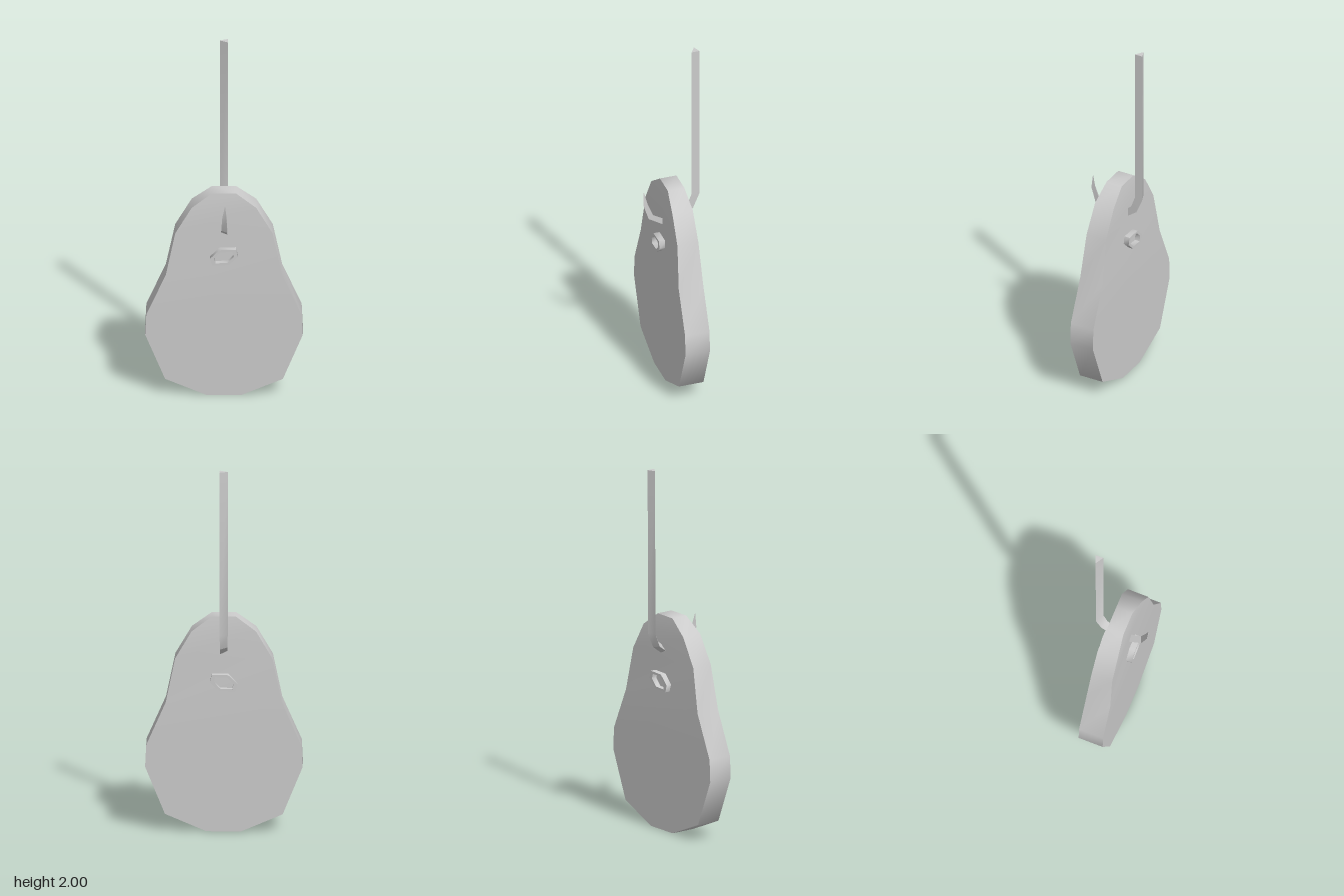
import * as THREE from 'three';
import { toCreasedNormals } from 'three/addons/utils/BufferGeometryUtils.js';

// Skin a list of equal-length rings (counter-clockwise seen from the far end), with end caps
function loft(rings, crease) {
  const n = rings[0].length, index = [];
  rings.slice(1).forEach((_, i) => {
    for (let j = 0; j < n; j++) {
      const a = i * n + j, b = i * n + (j + 1) % n;
      index.push(a, b, b + n, a, b + n, a + n);
    }
  });
  const end = (rings.length - 1) * n;
  for (let j = 1; j < n - 1; j++) {
    index.push(0, j + 1, j, end, end + j, end + j + 1);
  }
  const geometry = new THREE.BufferGeometry();
  geometry.setAttribute('position', new THREE.Float32BufferAttribute(rings.flat(2), 3));
  geometry.setIndex(index);
  return toCreasedNormals(geometry, crease);
}

export function createModel() {
  const model = new THREE.Group();
  const material = new THREE.MeshStandardMaterial({ color: 0xcccccc });
  const add = (name, geometry) => {
    const mesh = new THREE.Mesh(geometry, material);
    mesh.name = name;
    model.add(mesh);
  };

  // Pear-shaped slab, thinner at the top: height, half width, front z, back z
  const rows = [
    [0, 0.093, 0.06, -0.078], [0.095, 0.314, 0.06, -0.078],
    [0.355, 0.42, 0.06, -0.078], [0.475, 0.414, 0.06, -0.078],
    [0.71, 0.31, 0.06, -0.078], [0.95, 0.26, 0.05, -0.068],
    [1.1, 0.172, 0.048, -0.067], [1.18, 0.064, 0.037, -0.056],
  ];
  add('body', loft(rows.map(([y, w, f, b]) => [[-w, y, b], [-w, y, f], [w, y, f], [w, y, b]]), 0.9));

  // Hook of triangular section, running down the back, through the slab and up to a point
  const path = [ // y, z, section scale
    [2, -0.137, 1], [1.1, -0.136, 1], [1.025, -0.106, 0.95], [0.98, -0.045, 0.9],
    [0.957, 0.045, 0.8], [1, 0.117, 0.72], [1.085, 0.147, 0.55], [1.155, 0.152, 0.04],
  ];
  const section = [[-0.028, 0.003], [0.015, 0.02], [0.015, -0.024]]; // x, outward offset
  const hookRings = path.map(([y, z, s], i) => {
    const p = path[Math.max(i - 1, 0)], q = path[Math.min(i + 1, path.length - 1)];
    // Tangent averaged from the unit directions of both neighbouring segments
    const before = new THREE.Vector2(y - p[0], z - p[1]).normalize();
    const t = new THREE.Vector2(q[0] - y, q[1] - z).normalize().add(before).normalize();
    return section.map(([x, o]) => [0.006 + x * s, y - t.y * o * s, z + t.x * o * s]);
  });
  add('hook', loft(hookRings, 0.5));

  // Skewed hexagonal eyelet rims on both faces
  const hex = [[0.074, 0.006], [0.063, 0.046], [-0.024, 0.044],
    [-0.074, -0.006], [-0.063, -0.046], [0.024, -0.044]];
  const points = (s) => hex.map(([x, y]) => new THREE.Vector2(x * s, y * s));
  const rim = (name, z0, z1) => {
    const shape = new THREE.Shape(points(1));
    shape.holes.push(new THREE.Path(points(0.72)));
    const geometry = new THREE.ExtrudeGeometry(shape, { depth: z1 - z0, bevelEnabled: false });
    geometry.translate(0, 0.824, z0);
    add(name, toCreasedNormals(geometry, 1.2));
  };
  rim('frontEyelet', 0.04, 0.087);
  rim('backEyelet', -0.103, -0.06);

  return model;
}
